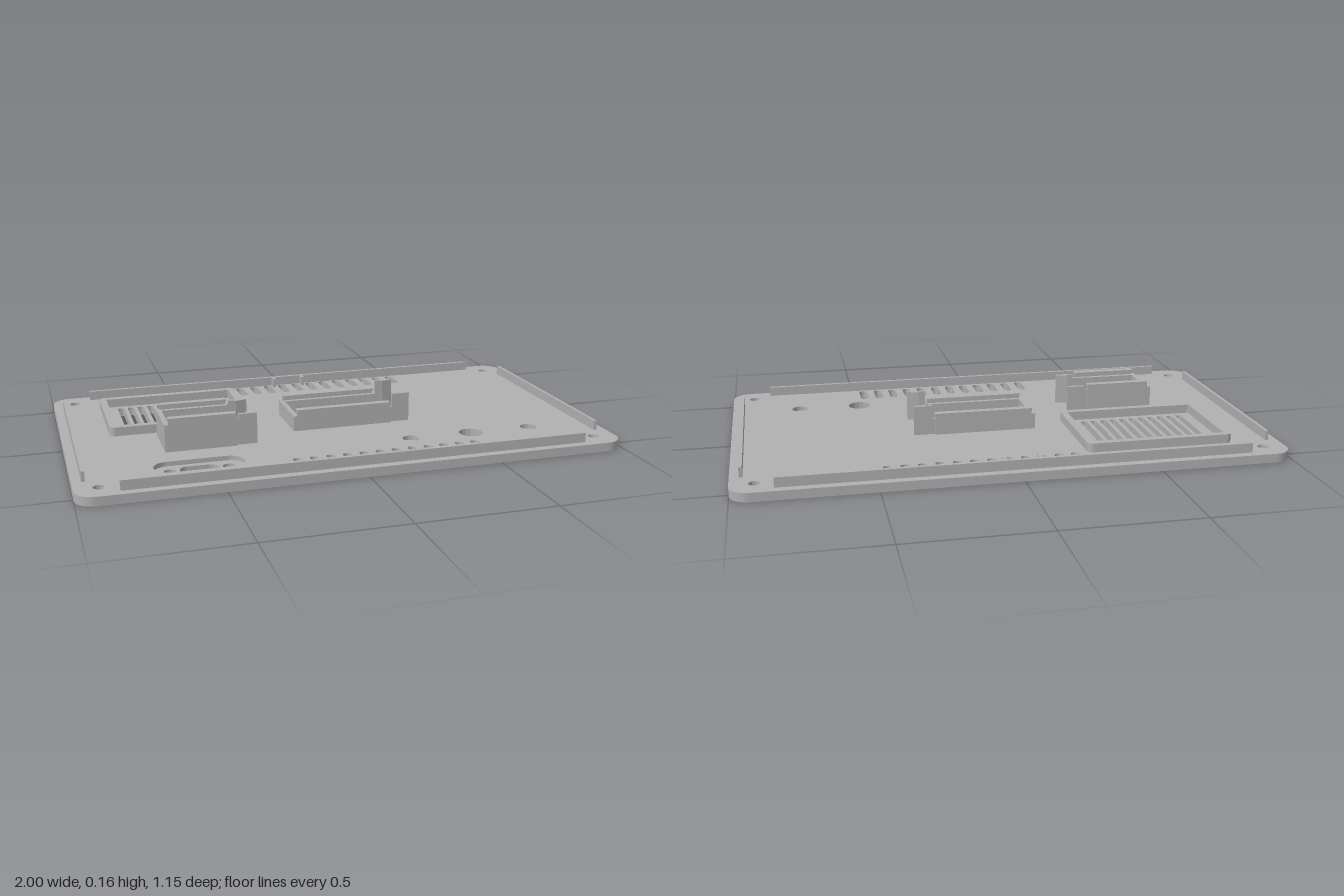
import * as THREE from 'three';

const TOP = 0.033, MID = 0.016;

// Rounded rectangle in plan: x range, z range, corner radius (shape y is -z)
function outline(x0, x1, z0, z1, r, Type = THREE.Path) {
  const p = new Type(), a = -z1, b = -z0, q = Math.PI / 2;
  p.absarc(x1 - r, a + r, r, -q, 0, false);
  p.absarc(x1 - r, b - r, r, 0, q, false);
  p.absarc(x0 + r, b - r, r, q, 2 * q, false);
  p.absarc(x0 + r, a + r, r, 2 * q, 3 * q, false);
  p.closePath();
  return p;
}
const circle = (x, z, r) => new THREE.Path().absarc(x, -z, r, 0, Math.PI * 2, false);

// Extrude a plan shape from y0 to y1
function slab(shape, y0, y1, curveSegments = 8) {
  const g = new THREE.ExtrudeGeometry(shape, { depth: y1 - y0, bevelEnabled: false, curveSegments });
  return g.rotateX(-Math.PI / 2).translate(0, y0, 0);
}

export function createModel() {
  const model = new THREE.Group();
  model.name = 'ventedPanel';
  const grey = new THREE.MeshStandardMaterial({ color: 0xb0b0b0 });
  grey.name = 'grey plastic';

  const add = (name, geometry, parent = model) => {
    const m = new THREE.Mesh(geometry, grey);
    m.name = name;
    parent.add(m);
    return m;
  };
  const box = (name, x0, x1, y0, y1, z0, z1, parent) =>
    add(name, new THREE.BoxGeometry(x1 - x0, y1 - y0, z1 - z0)
      .translate((x0 + x1) / 2, (y0 + y1) / 2, (z0 + z1) / 2), parent);

  // Openings that pass through the full plate
  const through = () => {
    const holes = [circle(0.492, 0.318, 0.045)];
    for (let i = 0; i < 12; i++) {
      const x = -0.218 + i * 0.0617;
      holes.push(outline(x - 0.0155, x + 0.0155, -0.525, -0.413, 0.015));
      holes.push(outline(x - 0.0155, x + 0.0155, 0.405, 0.517, 0.015));
    }
    for (let i = 0; i < 11; i++) {
      const x = -0.742 + i * 0.0391;
      holes.push(outline(x - 0.012, x + 0.012, -0.376, -0.074, 0.008));
    }
    for (let i = 0; i < 4; i++) {
      const x = -0.608 + i * 0.0342;
      holes.push(outline(x - 0.011, x + 0.011, 0.05, 0.17, 0.008));
    }
    return holes;
  };
  const corners = [[1, 1], [1, -1], [-1, 1], [-1, -1]].map(([a, b]) => [a * 0.915, b * 0.49]);
  const screws = [[0.25, 0.318], [0.733, 0.318]];

  // Lower half of the plate: wide corner recesses, small screw holes, connector cutout
  const lower = outline(-1, 1, -0.575, 0.575, 0.07, THREE.Shape);
  lower.holes = [...through(),
    ...corners.map(([x, z]) => circle(x, z, 0.034)),
    ...screws.map(([x, z]) => circle(x, z, 0.018)),
    outline(-0.626, -0.486, 0.334, 0.4, 0.032),
    circle(-0.661, 0.367, 0.022), circle(-0.452, 0.367, 0.022)];
  add('plateLower', slab(lower, 0, MID));

  // Upper half: narrow corner holes, wide screw recesses, connector recess
  const upper = outline(-1, 1, -0.575, 0.575, 0.07, THREE.Shape);
  upper.holes = [...through(),
    ...corners.map(([x, z]) => circle(x, z, 0.02)),
    ...screws.map(([x, z]) => circle(x, z, 0.032)),
    outline(-0.717, -0.395, 0.311, 0.421, 0.054)];
  add('plateUpper', slab(upper, MID, TOP));

  // Locating rails around the edge and two small tabs on the back rail
  const railTop = 0.069;
  for (const s of [-1, 1]) {
    box('longRail', -0.85, 0.85, TOP, railTop, s * 0.537 - 0.007, s * 0.537 + 0.007);
    box('shortRail', s * 0.96 - 0.006, s * 0.96 + 0.006, TOP, railTop, -0.425, 0.425);
  }
  for (const x of [-0.065, 0.06])
    box('railTab', x - 0.006, x + 0.006, TOP, railTop, -0.531, -0.498);

  // Raised frame around the large vent
  const frame = outline(-0.822, -0.267, -0.427, -0.022, 0.022, THREE.Shape);
  frame.holes = [outline(-0.796, -0.293, -0.4, -0.048, 0.003)];
  add('ventFrame', slab(frame, TOP, 0.067));

  // Board holder: end wall, two grooved arms and two snap clips
  function holder(name, x0, x1, z0, z1, wallTop, armTop, clipTop) {
    const g = new THREE.Group();
    g.name = name;
    model.add(g);
    const t = 0.027, skin = 0.011, groove = wallTop + 0.014;
    box('endWall', x0, x0 + 0.018, TOP, wallTop, z0, z1, g);
    for (const [zo, s] of [[z0, 1], [z1, -1]]) { // s points to the inside
      const strip = (part, y0, y1, w) => box(part, x0 + 0.014, x1, y0, y1,
        Math.min(zo, zo + s * w), Math.max(zo, zo + s * w), g);
      strip('armBase', TOP, wallTop, t);
      strip('armGroove', wallTop, groove, skin);
      strip('armTop', groove, armTop, t);
      // Flexible neck, then a barbed tip that tapers to the end
      const a = zo + s * 0.01, b = zo + s * 0.021;
      box('clipNeck', x1, x1 + 0.02, TOP, wallTop, Math.min(a, b), Math.max(a, b), g);
      const pts = [[0.01, 0.01], [0.08, 0.01], [0.08, 0.019], [0.035, 0.03], [0.035, 0.021], [0.01, 0.021]]
        .map(([x, w]) => new THREE.Vector2(x1 + x, -(zo + s * w)));
      add('clipTip', slab(new THREE.Shape(pts), TOP, clipTop), g);
    }
  }
  holder('smallBoardHolder', -0.652, -0.39, 0.007, 0.214, 0.135, 0.158, 0.15);
  holder('largeBoardHolder', -0.146, 0.242, -0.115, 0.112, 0.092, 0.115, 0.145);

  return model;
}
